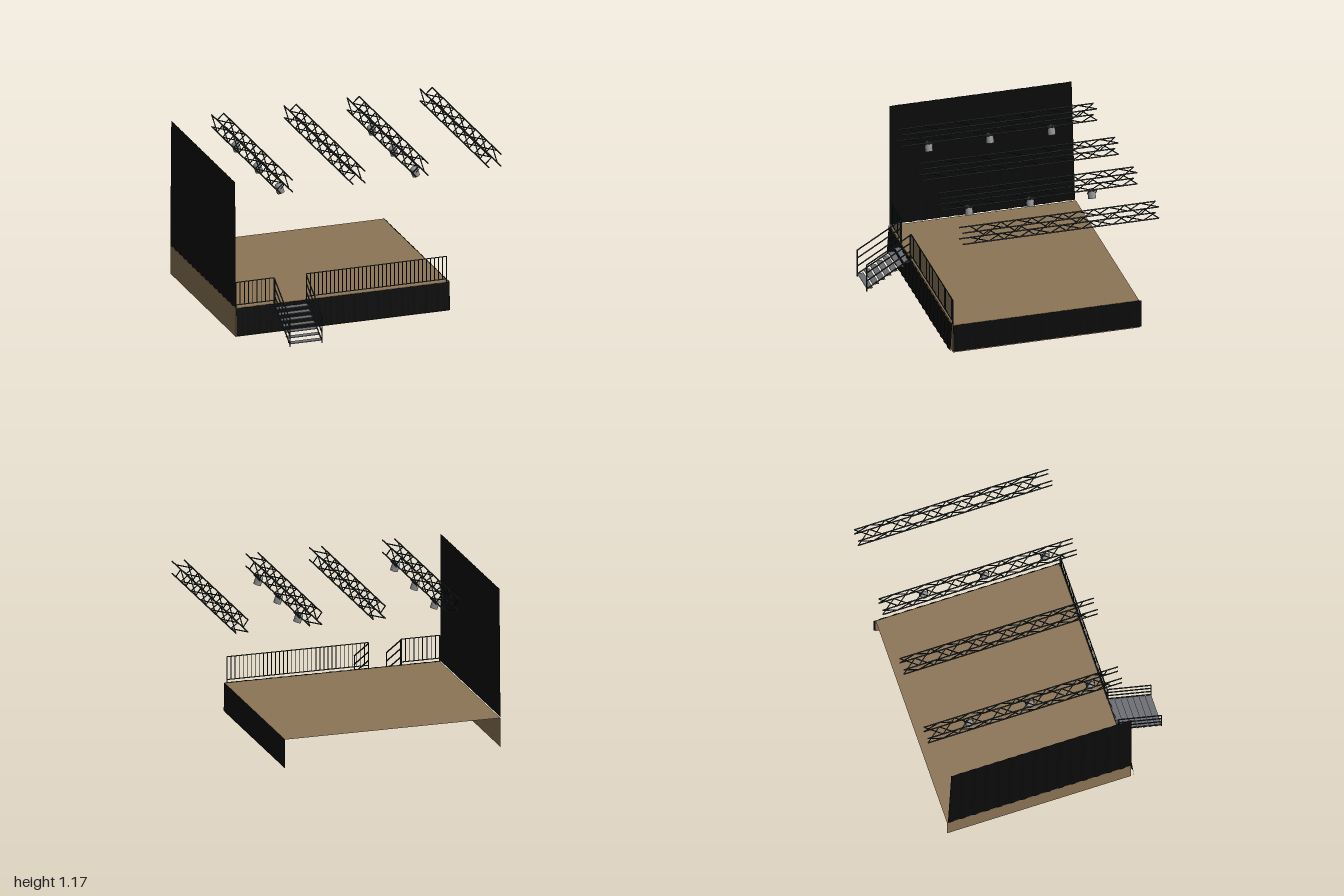
import * as THREE from 'three';
import { mergeGeometries } from 'three/addons/utils/BufferGeometryUtils.js';

const mat = (name, color, side = THREE.FrontSide) => {
  const m = new THREE.MeshStandardMaterial({ color, side });
  m.name = name;
  return m;
};

// Straight round bar between two points
function bar(a, b, r = 0.004, sides = 8) {
  const p = new THREE.Vector3(...a), q = new THREE.Vector3(...b);
  const d = q.clone().sub(p);
  const g = new THREE.CylinderGeometry(r, r, d.length(), sides);
  g.applyQuaternion(new THREE.Quaternion().setFromUnitVectors(new THREE.Vector3(0, 1, 0), d.normalize()));
  return g.translate(...p.add(q).multiplyScalar(0.5).toArray());
}

// Pleated cloth in the xy plane, its folds deepening and flaring towards the hem
function drape(width, height, pleats, topDepth, hemDepth, flare) {
  const g = new THREE.PlaneGeometry(width, height, pleats * 8, 4);
  const pos = g.attributes.position;
  for (let i = 0; i < pos.count; i++) {
    const down = 0.5 - pos.getY(i) / height;
    const wave = 0.5 + 0.5 * Math.sin((pos.getX(i) / width + 0.5) * pleats * Math.PI * 2);
    pos.setZ(i, THREE.MathUtils.lerp(topDepth, hemDepth, down) * wave + flare * down);
    // scalloped hem
    if (down > 0.99) pos.setY(i, pos.getY(i) + 0.006 * wave);
  }
  g.computeVertexNormals();
  return g;
}

export function createModel() {
  const wood = mat('wood', 0x8d7557, THREE.DoubleSide);
  const cloth = mat('black cloth', 0x0b0b0b, THREE.DoubleSide);
  const steel = mat('dark steel', 0x20292b);
  const tread = mat('grey tread', 0x6d6f74);
  const lampGrey = mat('lamp grey', 0x8c8c8c);

  const model = new THREE.Group();
  model.name = 'stage';
  const add = (name, geometry, material, parent = model) => {
    const m = new THREE.Mesh(geometry, material);
    m.name = name;
    parent.add(m);
    return m;
  };

  // Platform: deck and three side boards, open at the back and below
  const X0 = -0.994, X1 = 0.612, Z0 = -0.835, Z1 = 0.54, H = 0.215;
  const W = X1 - X0, D = Z1 - Z0, cx = (X0 + X1) / 2, cz = (Z0 + Z1) / 2;
  add('deck', new THREE.PlaneGeometry(W, D).rotateX(-Math.PI / 2).translate(cx, H, cz), wood);
  add('frontBoard', new THREE.PlaneGeometry(W, H).translate(cx, H / 2, Z1), wood);
  for (const [name, x, s] of [['rightBoard', X0, -1], ['leftBoard', X1, 1]])
    add(name, new THREE.PlaneGeometry(D, H).rotateY(s * Math.PI / 2).translate(x, H / 2, cz), wood);

  // Skirts and the tall side curtain
  add('frontSkirt', drape(W, 0.21, 18, 0.007, 0.009, 0.012).translate(cx, 0.112, Z1 + 0.004), cloth);
  add('sideSkirt', drape(D + 0.015, 0.21, 15, 0.004, 0.006, 0.002).rotateY(Math.PI / 2)
    .translate(X1 + 0.002, 0.112, cz - 0.007), cloth);
  const curtain = drape(D - 0.005, 0.95, 15, 0.003, 0.005, 0).rotateY(Math.PI / 2);
  const cp = curtain.attributes.position;
  for (let i = 0; i < cp.count; i++) {
    // back edge leans in towards the top
    const up = cp.getY(i) / 0.95 + 0.5, back = 0.5 - cp.getZ(i) / D;
    cp.setZ(i, cp.getZ(i) + 0.025 * up * back);
  }
  add('sideCurtain', curtain.translate(-0.9995, 0.692, cz + 0.003), cloth);

  // Front railings with upright bars
  for (const [a, b] of [[-0.992, -0.705], [-0.46, 0.595]]) {
    const z = Z1 - 0.002, n = Math.round((b - a) / 0.0305);
    const parts = [0.24, 0.41].map(y => bar([a, y, z], [b, y, z], 0.004));
    for (let i = 0; i <= n; i++) {
      const x = a + (b - a) * i / n, end = i === 0 || i === n;
      parts.push(bar([x, end ? H : 0.24, z], [x, 0.41, z], end ? 0.004 : 0.0028, 6));
    }
    add('railing', mergeGeometries(parts), steel);
  }

  // Stairs: open treads between sloping rails
  const stairs = new THREE.Group();
  stairs.name = 'stairs';
  model.add(stairs);
  const sl = -0.702, sr = -0.462, sz0 = 0.545, sz1 = 0.865, steps = 7;
  const going = (sz1 - sz0) / steps;
  for (let i = 0; i < steps; i++)
    add('tread', new THREE.BoxGeometry(sr - sl, 0.005, going)
      .translate((sl + sr) / 2, 0.022 + i * 0.0275, sz1 - going * (i + 0.5)), tread, stairs);
  for (const x of [sl, sr]) {
    const parts = [0.02, 0.083, 0.147, 0.21].map(y => bar([x, y, sz1], [x, y + 0.19, sz0], 0.005));
    parts.push(bar([x, 0, sz1], [x, 0.213, sz1], 0.004), bar([x, 0.2, sz0], [x, 0.405, sz0], 0.004));
    add('stairRail', mergeGeometries(parts), steel, stairs);
  }

  // Overhead square trusses: four chords laced by zigzags
  const h = 0.045, ty = 1.102, tz0 = -0.87, tz1 = 0.58, bays = 12, bay = 1.37 / bays;
  const trussParts = [];
  const corners = [[-h, -h], [h, -h], [h, h], [-h, h]];
  corners.forEach((c, k) => {
    trussParts.push(bar([...c, tz0], [...c, tz1], 0.005));
    // opposite faces are laced the other way round
    const next = corners[(k + 1) % 4];
    for (let i = 0; i < bays; i++) {
      const [p, q] = i % 2 ? [next, c] : [c, next];
      trussParts.push(bar([...p, tz0 + i * bay], [...q, tz0 + (i + 1) * bay], 0.0042, 6));
    }
  });
  const trussGeo = mergeGeometries(trussParts);
  const trussX = [-0.625, -0.079, 0.395, 0.945];
  for (const x of trussX) add('truss', trussGeo, steel).position.set(x, ty, 0);

  // Spotlights hung under two trusses
  const can = new THREE.LatheGeometry([[0, 0.036], [0.014, 0.034], [0.024, 0.027], [0.028, 0.018], [0.028, -0.036],
    [0.025, -0.036], [0.023, -0.03], [0, -0.03]].reverse().map(p => new THREE.Vector2(...p)), 20);
  const yoke = mergeGeometries([
    bar([0.025, 0.03, -0.031], [0.025, 0.03, 0.031], 0.003),
    ...[-0.031, 0.031].map(z => bar([0, 0, z], [0.025, 0.03, z], 0.003)),
    bar([0.025, 0.03, 0], [0.022, 0.045, 0], 0.004),
  ]);
  for (const x of [trussX[0], trussX[2]])
    for (const z of [-0.54, -0.085, 0.367]) {
      const lamp = new THREE.Group();
      lamp.name = 'spotlight';
      lamp.position.set(x + 0.02, 1.017, z);
      add('lampBody', can, lampGrey, lamp).rotation.z = 0.33;
      add('lampYoke', yoke, steel, lamp);
      model.add(lamp);
    }

  return model;
}
